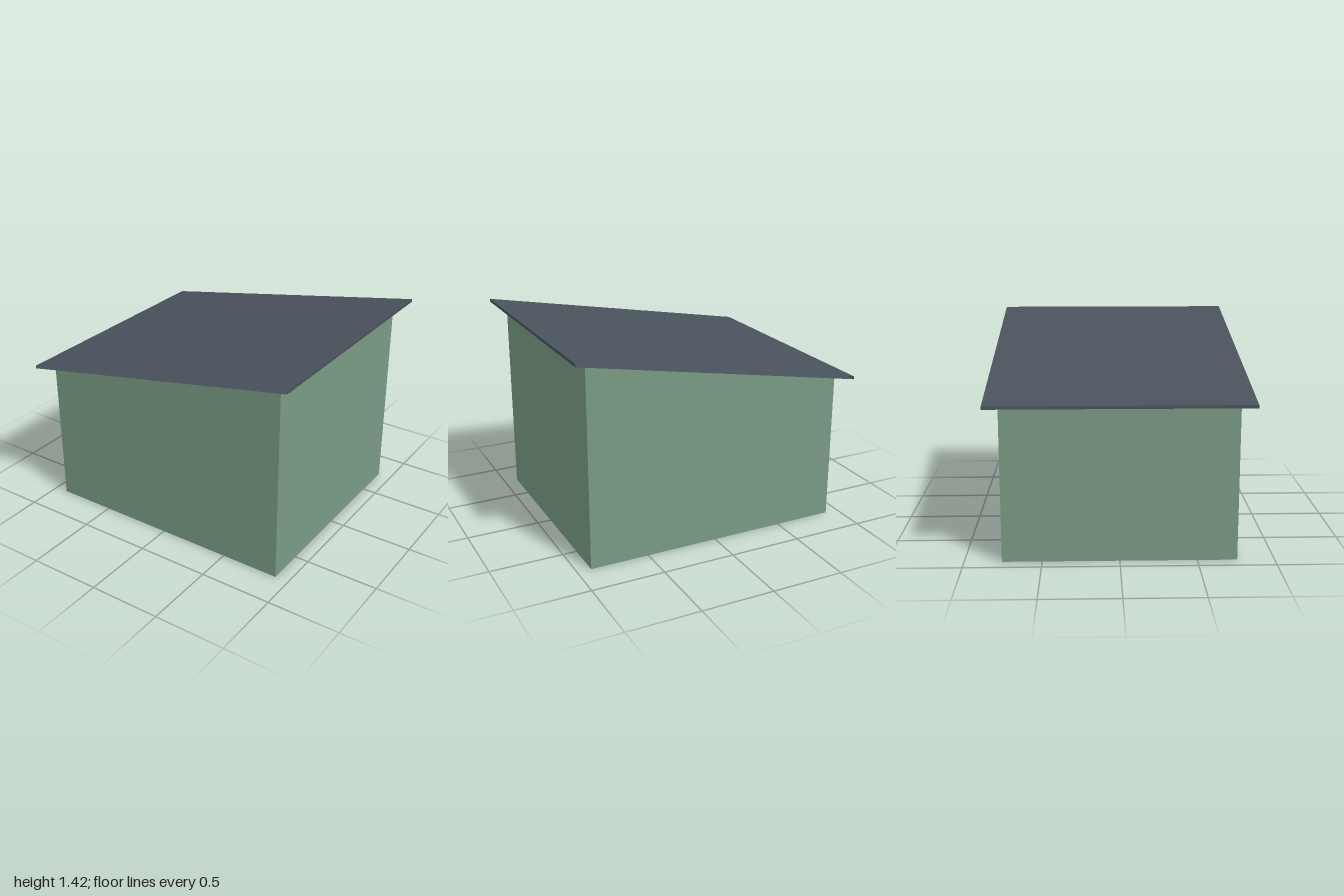
import * as THREE from 'three';

const W = 0.905, D = 0.758;              // half width and depth of the walls
const ROOF_W = 1, ROOF_D = 0.85, THICK = 0.02;
const roofTop = (x) => 1.23 + 0.188 * x; // slope rising towards +x

// Sweeps a closed counter-clockwise profile along z, leaving the ends open
function openSweep(profile, halfDepth) {
  const pos = [];
  profile.forEach(([ax, ay], i) => {
    const [bx, by] = profile[(i + 1) % profile.length];
    const h = halfDepth;
    pos.push(ax, ay, -h, bx, by, -h, bx, by, h);
    pos.push(ax, ay, -h, bx, by, h, ax, ay, h);
  });
  const geo = new THREE.BufferGeometry();
  geo.setAttribute('position', new THREE.Float32BufferAttribute(pos, 3));
  geo.computeVertexNormals();
  return geo;
}

export function createModel() {
  const model = new THREE.Group();
  model.name = 'shed';

  const wallMat = new THREE.MeshStandardMaterial({ color: 0x789b83, side: THREE.DoubleSide });
  wallMat.name = 'sage green';
  const roofMat = new THREE.MeshStandardMaterial({ color: 0x4a525b, side: THREE.DoubleSide });
  roofMat.name = 'slate grey';

  const add = (name, geo, mat) => {
    const mesh = new THREE.Mesh(geo, mat);
    mesh.name = name;
    model.add(mesh);
    return mesh;
  };

  // Sloped front and back walls; s mirrors the outline for the back
  for (const [name, s] of [['frontWall', 1], ['backWall', -1]]) {
    const outline = new THREE.Shape([
      new THREE.Vector2(-W, 0), new THREE.Vector2(W, 0),
      new THREE.Vector2(W, roofTop(s * W)), new THREE.Vector2(-W, roofTop(-s * W)),
    ]);
    const geo = new THREE.ShapeGeometry(outline).translate(0, 0, D);
    if (s < 0) geo.rotateY(Math.PI);
    add(name, geo, wallMat);
  }

  // Tall and short side walls; the floor is open
  for (const [name, s] of [['tallSideWall', 1], ['shortSideWall', -1]]) {
    const h = roofTop(s * W) - 0.005;
    const geo = new THREE.PlaneGeometry(2 * D, h).rotateY(s * Math.PI / 2);
    add(name, geo.translate(s * W, h / 2, 0), wallMat);
  }

  // Thin overhanging roof, open along its front and back edges
  const l = roofTop(-ROOF_W), r = roofTop(ROOF_W);
  add('roof', openSweep([
    [-ROOF_W, l - THICK], [ROOF_W, r - THICK], [ROOF_W, r], [-ROOF_W, l],
  ], ROOF_D), roofMat);

  return model;
}
